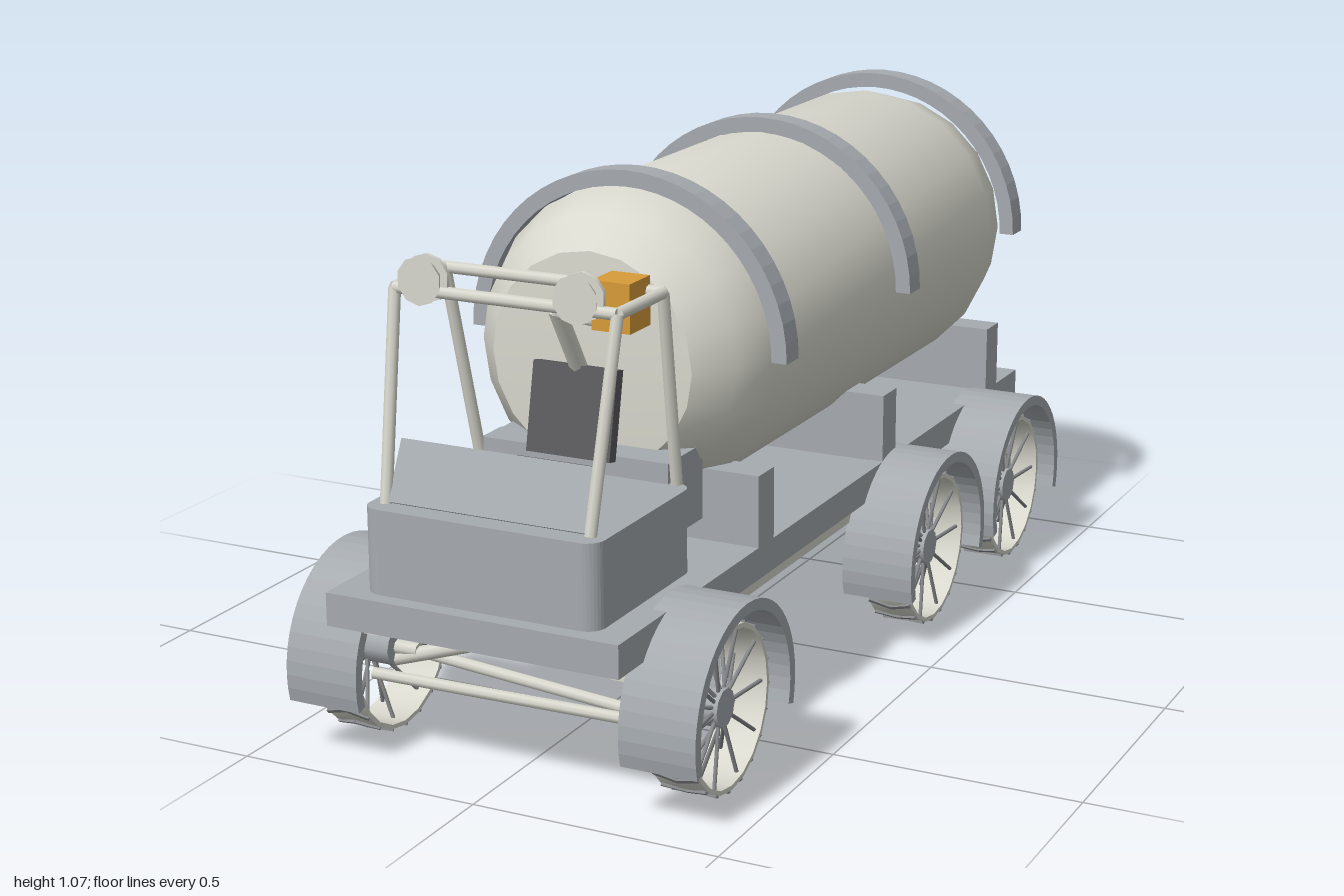
import * as THREE from 'three';
import { toCreasedNormals } from 'three/addons/utils/BufferGeometryUtils.js';

const mat = (name, color) => Object.assign(new THREE.MeshStandardMaterial({ color }), { name });
const V = (x, y, z) => new THREE.Vector3(x, y, z);

export function createModel() {
  const root = new THREE.Group();
  root.name = 'tankerRover';
  const shell = mat('pale shell', 0xd8d8ce);
  const grey = mat('blue grey panels', 0xa6abb0);
  const dark = mat('dark seat', 0x5b5b5e);
  const spokeGrey = mat('spoke grey', 0x85878a);
  const orange = mat('orange box', 0xd89c3a);

  const add = (name, geo, material, pos = [0, 0, 0], parent = root) => {
    const m = new THREE.Mesh(geo, material);
    m.name = name;
    m.position.set(...pos);
    parent.add(m);
    return m;
  };
  // box given by its limits on each axis
  const box = (name, material, [x0, x1], [y0, y1], [z0, z1]) =>
    add(name, new THREE.BoxGeometry(x1 - x0, y1 - y0, z1 - z0), material,
      [(x0 + x1) / 2, (y0 + y1) / 2, (z0 + z1) / 2]);
  // straight tube between two points
  const rod = (name, a, b, r, material = shell, parent = root) => {
    const d = b.clone().sub(a);
    const m = add(name, new THREE.CylinderGeometry(r, r, d.length(), 8), material,
      a.clone().add(b).multiplyScalar(0.5).toArray(), parent);
    m.quaternion.setFromUnitVectors(V(0, 1, 0), d.normalize());
    return m;
  };
  // extruded arch, open at the bottom, centred on its depth
  const arch = (inner, outer, depth, a, segments) => {
    const s = new THREE.Shape();
    s.absarc(0, 0, outer, -a, Math.PI + a, false);
    s.absarc(0, 0, inner, Math.PI + a, -a, true);
    const g = new THREE.ExtrudeGeometry(s, { depth, bevelEnabled: false, curveSegments: segments });
    return g.translate(0, 0, -depth / 2);
  };

  // chassis deck and the rails below it
  box('deck', grey, [-0.305, 0.305], [0.3, 0.365], [-1, 1]);
  for (const s of [-1, 1]) {
    const rail = box('chassisRail', shell, [-0.018, 0.018], [0.262, 0.3], [-0.6, 0.92]);
    rail.position.x = s * 0.263;
  }

  // tank with chamfered ends
  const profile = [[0, -1], [0.215, -0.988], [0.285, -0.905], [0.313, -0.79],
    [0.313, 0.37], [0.275, 0.465], [0.215, 0.53], [0, 0.542]];
  const tankGeo = new THREE.LatheGeometry(profile.map(([r, z]) => new THREE.Vector2(r, z)), 20);
  tankGeo.rotateX(Math.PI / 2);
  add('tank', toCreasedNormals(tankGeo, 0.6), shell, [0, 0.728, 0]);

  // straps over the tank and saddles under it
  const strapGeo = arch(0.313, 0.345, 0.055, 0, 14);
  for (const z of [0.36, -0.255, -0.87]) add('tankStrap', strapGeo, grey, [0, 0.727, z]);
  for (const z of [0.39, -0.225, -0.835])
    box('tankSaddle', grey, [-0.305, 0.305], [0.365, 0.51], [z - 0.035, z + 0.035]);

  // cab tub with rounded corners
  const w = 0.245, l = 0.192, r = 0.035;
  const plan = new THREE.Shape();
  plan.absarc(w - r, l - r, r, 0, Math.PI / 2, false);
  plan.absarc(-w + r, l - r, r, Math.PI / 2, Math.PI, false);
  plan.absarc(-w + r, -l + r, r, Math.PI, Math.PI * 1.5, false);
  plan.absarc(w - r, -l + r, r, Math.PI * 1.5, Math.PI * 2, false);
  const tubGeo = new THREE.ExtrudeGeometry(plan, { depth: 0.165, bevelEnabled: false, curveSegments: 4 });
  tubGeo.rotateX(-Math.PI / 2);
  add('cabTub', tubGeo, grey, [0, 0.365, 0.776]);
  box('rearEquipmentBox', grey, [-0.2, 0.2], [0.42, 0.57], [0.455, 0.6]);

  // slanted dash panel
  const dash = box('dashPanel', grey, [-0.205, 0.205], [0.525, 0.645], [0.885, 0.91]);
  dash.rotation.x = -0.45;

  // seat
  box('seatCushion', dark, [-0.09, 0.09], [0.53, 0.565], [0.66, 0.79]);
  const back = box('seatBack', dark, [-0.09, 0.09], [0.56, 0.735], [0.585, 0.61]);
  back.rotation.x = -0.2;

  // control arm and orange box
  rod('controlArmLower', V(0, 0.7, 0.56), V(0, 0.86, 0.66), 0.017);
  rod('controlArmUpper', V(0, 0.855, 0.66), V(0.16, 0.86, 0.71), 0.013);
  box('controlBox', orange, [0.122, 0.2], [0.855, 0.948], [0.668, 0.748]);

  // roll cage
  for (const s of [-1, 1]) {
    rod('frontPost', V(s * 0.213, 0.53, 0.928), V(s * 0.23, 0.92, 0.85), 0.012);
    rod('rearPost', V(s * 0.213, 0.53, 0.59), V(s * 0.23, 0.92, 0.675), 0.012);
    rod('roofSide', V(s * 0.23, 0.92, 0.675), V(s * 0.23, 0.92, 0.85), 0.012);
    // head lamps
    const lamp = add('headLamp', new THREE.CylinderGeometry(0.029, 0.046, 0.03, 10), shell,
      [s * 0.16, 0.944, 0.865]);
    lamp.rotation.x = -Math.PI / 2;
    const rim = add('lampBack', new THREE.CylinderGeometry(0.046, 0.046, 0.008, 10), shell,
      [s * 0.16, 0.944, 0.849]);
    rim.rotation.x = Math.PI / 2;
  }
  for (const z of [0.675, 0.85]) rod('roofCrossBar', V(-0.23, 0.92, z), V(0.23, 0.92, z), 0.012);

  // spoked wheel, axle along x
  const rimGeo = toCreasedNormals(new THREE.LatheGeometry(
    [[0.152, -0.048], [0.161, -0.048], [0.161, 0.048], [0.152, 0.048], [0.152, -0.048]]
      .map(([x, y]) => new THREE.Vector2(x, y)), 20).rotateZ(Math.PI / 2), 0.6);
  const hubGeo = new THREE.CylinderGeometry(0.038, 0.038, 0.07, 10).rotateZ(Math.PI / 2);
  const treadGeo = new THREE.BoxGeometry(0.05, 0.006, 0.008);
  const makeWheel = () => {
    const wheel = new THREE.Group();
    wheel.name = 'wheel';
    add('wheelRim', rimGeo, shell, [0, 0, 0], wheel);
    add('hub', hubGeo, grey, [0, 0, 0], wheel);
    for (let i = 0; i < 20; i++) {
      const sector = new THREE.Group();
      sector.name = 'wheelSector';
      sector.rotation.x = (i / 20) * Math.PI * 2;
      wheel.add(sector);
      rod('spoke', V(0.025, 0.03, 0), V(i % 2 ? 0.035 : -0.02, 0.155, 0), 0.004, spokeGrey, sector);
      for (const s of [-1, 1])
        add('treadChevron', treadGeo, spokeGrey, [s * 0.023, 0.162, 0], sector).rotation.y = s * 0.35;
    }
    return wheel;
  };

  // wheels and fenders, three on each side
  const fenderGeo = arch(0.19, 0.212, 0.155, 0.27, 14).rotateY(-Math.PI / 2);
  for (const s of [-1, 1]) for (const z of [0.742, -0.26, -0.74]) {
    const wheel = makeWheel();
    wheel.position.set(s * 0.354, 0.167, z);
    wheel.scale.x = 1;
    if (s < 0) wheel.rotation.y = Math.PI;
    root.add(wheel);
    add('fender', fenderGeo, grey, [s * 0.355, 0.166, z]);
    rod('stubAxle', V(s * 0.27, 0.167, z), V(s * 0.34, 0.167, z), 0.015);
  }

  // rear rocker arms
  for (const s of [-1, 1]) {
    const pivot = V(s * 0.265, 0.27, -0.5);
    for (const z of [-0.26, -0.74]) rod('rockerArm', pivot, V(s * 0.28, 0.167, z), 0.02);
  }

  // front wishbones and braces
  for (const dz of [-1, 1]) {
    const z = 0.742 + dz * 0.07, knuckle = 0.742 + dz * 0.02;
    rod('upperWishbone', V(-0.33, 0.245, z), V(0.2, 0.262, knuckle), 0.012);
    rod('lowerWishbone', V(-0.33, 0.135, z), V(0.2, 0.117, knuckle), 0.012);
    rod('upperLink', V(0.2, 0.262, knuckle), V(0.33, 0.24, z), 0.012);
    rod('lowerLink', V(0.2, 0.117, knuckle), V(0.33, 0.135, z), 0.012);
  }
  rod('longBrace', V(-0.33, 0.14, 0.742), V(0.14, 0.295, 0.742), 0.015);
  rod('shortBrace', V(0.14, 0.295, 0.742), V(0.33, 0.167, 0.742), 0.015);

  return root;
}
